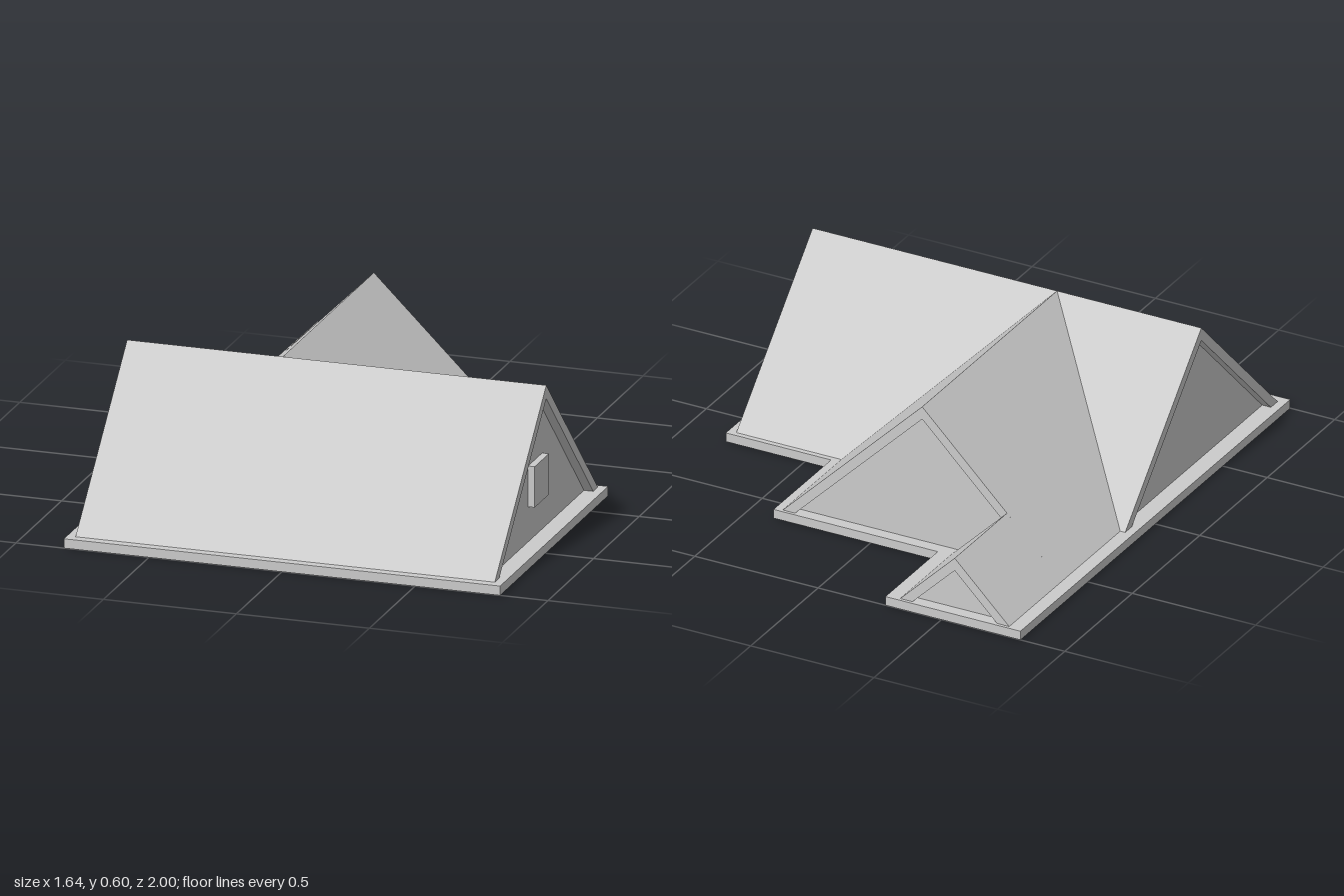
import * as THREE from 'three';

const BASE = 0.035;   // top of the base slab, where the eaves sit
const THICK = 0.05;   // roof thickness
const RECESS = 0.035; // how far gable walls sit behind the roof edge

const grey = new THREE.MeshStandardMaterial({ color: 0xcccccc, flatShading: true });

function polygon(points) {
  return new THREE.Shape(points.map(([x, y]) => new THREE.Vector2(x, y)));
}

function extrude(shape, depth) {
  return new THREE.ExtrudeGeometry(shape, { depth, bevelEnabled: false });
}

function addMesh(parent, name, geometry) {
  const mesh = new THREE.Mesh(geometry, grey);
  mesh.name = name;
  parent.add(mesh);
  return mesh;
}

// Chevron roof running along +z from its gable end at z = 0
function roofGeometry(half, rise, length) {
  const t = THICK;
  return extrude(polygon([
    [-half, 0], [-half + t, 0], [0, rise - t], [half - t, 0], [half, 0], [0, rise],
  ]), length);
}

// Triangular wall filling the opening below a chevron roof
function gableGeometry(half, rise) {
  const t = THICK - 0.002;
  return extrude(polygon([[-half + t, 0], [half - t, 0], [0, rise - t]]), 0.02);
}

// Footprint outline in x and z, moved inwards by d
function footprint(d) {
  return [
    [-0.82 + d, 1 - d], [0.82 - d, 1 - d], [0.82 - d, -0.185 + d], [0.393 - d, -0.185 + d],
    [0.393 - d, -0.612 + d], [-0.273 - d, -0.612 + d], [-0.273 - d, -1 + d], [-0.82 + d, -1 + d],
  ];
}

export function createModel() {
  const model = new THREE.Group();
  model.name = 'gabledRoof';

  // Base: a rim around the footprint and a floor slightly raised inside it
  const rimShape = polygon(footprint(0));
  rimShape.holes.push(new THREE.Path(polygon(footprint(0.025)).getPoints()));
  const rim = addMesh(model, 'eavesRim', extrude(rimShape, BASE));
  const floor = addMesh(model, 'floorSlab', extrude(polygon(footprint(0.025)), BASE - 0.012));
  for (const part of [rim, floor]) {
    part.rotation.x = Math.PI / 2; // shape y becomes z, depth goes down
    part.position.y = BASE;
  }

  // Main roof across the front, with a gable at each end
  const half = 0.565, rise = 0.56, length = 1.576;
  const main = new THREE.Group();
  main.name = 'mainRoof';
  main.rotation.y = Math.PI / 2;
  main.position.set(-length / 2, BASE, 0.4);
  model.add(main);
  addMesh(main, 'mainRoofSlopes', roofGeometry(half, rise, length));
  addMesh(main, 'rightGable', gableGeometry(half, rise)).position.z = RECESS;
  addMesh(main, 'leftGable', gableGeometry(half, rise)).position.z = length - RECESS - 0.02;

  // Square window on the left gable
  const gableWindow = addMesh(model, 'gableWindow', new THREE.BoxGeometry(0.04, 0.153, 0.155));
  gableWindow.position.set(length / 2 - RECESS + 0.005, 0.243, 0.42);

  // Rear wing, its front end mitred onto the back slope of the main roof
  const wing = new THREE.Group();
  wing.name = 'rearWing';
  wing.position.set(-0.203, BASE, -0.6);
  model.add(wing);
  const wingRoof = roofGeometry(half, rise, 1);
  const p = wingRoof.attributes.position;
  for (let i = 0; i < p.count; i++) {
    if (p.getZ(i) > 0.5) p.setZ(i, 1 - (rise - p.getY(i)) * (half / rise));
  }
  wingRoof.computeVertexNormals();
  addMesh(wing, 'rearWingSlopes', wingRoof);
  addMesh(wing, 'rearWingGable', gableGeometry(half, rise)).position.z = RECESS;

  // Small wing at the back, sharing one slope with the rear wing
  const small = new THREE.Group();
  small.name = 'smallWing';
  small.position.set(-0.547, BASE, -0.988);
  model.add(small);
  addMesh(small, 'smallWingSlopes', roofGeometry(0.221, 0.219, 0.39));
  addMesh(small, 'smallWingGable', gableGeometry(0.221, 0.219)).position.z = RECESS;

  return model;
}
